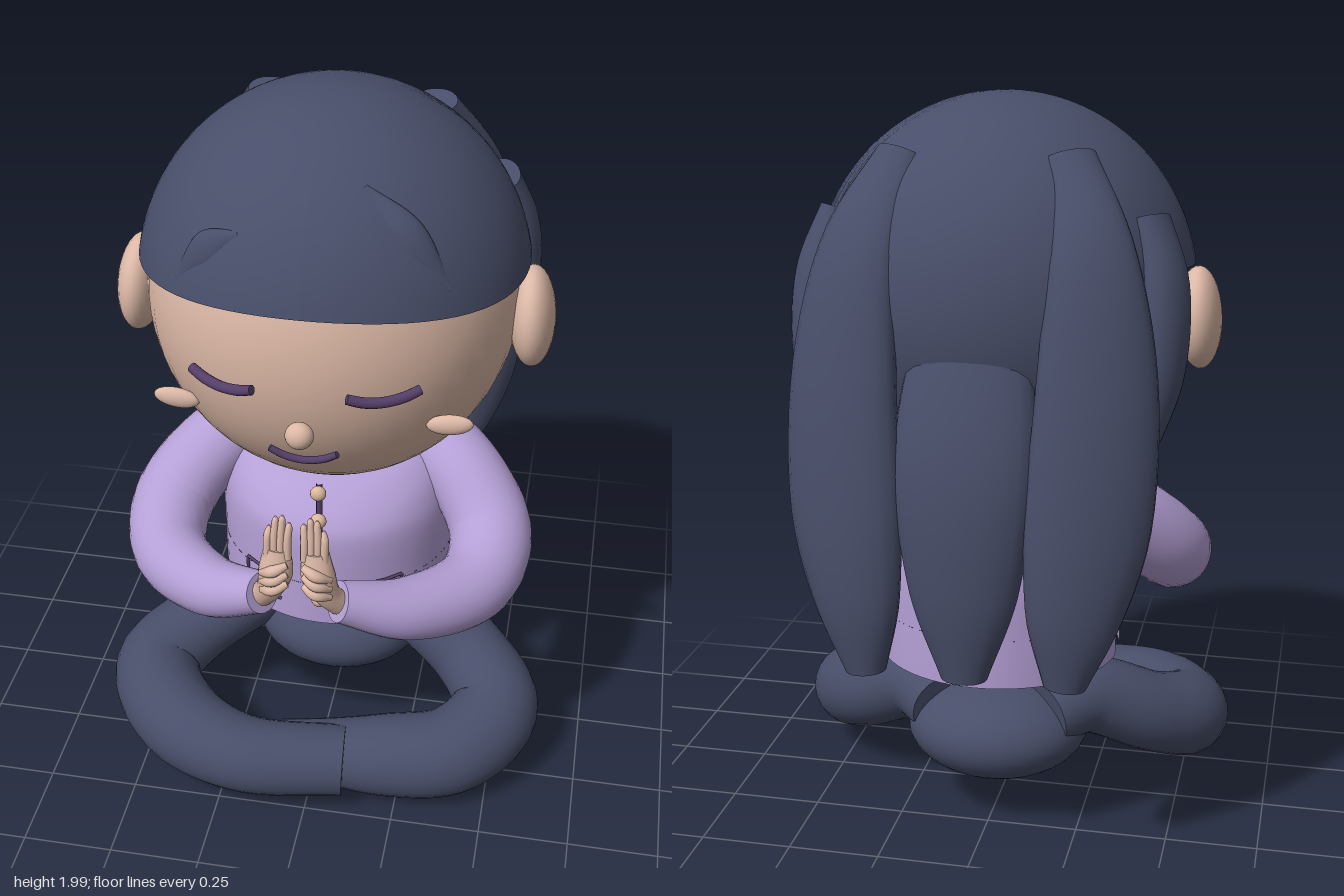
import * as THREE from 'three';

const mat = (name, color, side = THREE.FrontSide) => {
  const m = new THREE.MeshStandardMaterial({ color, side });
  m.name = name;
  return m;
};
const V = (a) => new THREE.Vector3(...a);

// Sweeps an ellipse (half width, half thickness) along a smooth path; out(p) gives the thickness direction
function sweep(path, radii, out, sides = 20, rings = 28) {
  const curve = new THREE.CatmullRomCurve3(path.map(V));
  const size = new THREE.CatmullRomCurve3(radii.map(([w, t]) => new THREE.Vector3(w, t, 0)), false, 'catmullrom', 0.5);
  const pos = [], idx = [];
  const ring = (u) => {
    const c = curve.getPoint(u), T = curve.getTangent(u), r = size.getPoint(u);
    const side = out(c).cross(T).normalize();
    const up = T.clone().cross(side);
    for (let j = 0; j < sides; j++) {
      const a = (j / sides) * Math.PI * 2;
      const p = c.clone().addScaledVector(side, Math.cos(a) * r.x).addScaledVector(up, Math.sin(a) * r.y);
      pos.push(p.x, p.y, p.z);
    }
    return c;
  };
  for (let i = 0; i <= rings; i++) ring(i / rings);
  for (let i = 0; i < rings; i++) for (let j = 0; j < sides; j++) {
    const a = i * sides + j, b = i * sides + (j + 1) % sides;
    idx.push(a, b, a + sides, b, b + sides, a + sides);
  }
  // flat end caps
  for (const end of [0, 1]) {
    const base = pos.length / 3, c = ring(end);
    pos.push(c.x, c.y, c.z);
    for (let j = 0; j < sides; j++) {
      const a = base + j, b = base + (j + 1) % sides;
      idx.push(base + sides, end ? a : b, end ? b : a);
    }
  }
  const g = new THREE.BufferGeometry();
  g.setAttribute('position', new THREE.Float32BufferAttribute(pos, 3));
  g.setIndex(idx);
  g.computeVertexNormals();
  return g;
}
const upward = () => V([0, 1, 0]);
const forward = () => V([0, 0, 1]);
const radial = (p) => V([p.x, 0, p.z]).normalize();
const backish = (p) => V([p.x * 0.45, 0, p.z]).normalize();
const round = (list) => list.map((r) => [r, r]);

export function createModel() {
  const root = new THREE.Group();
  root.name = 'meditatingFigure';
  const skin = mat('skin', 0xdcb8a6);
  const navy = mat('navy', 0x484e69);
  const navyOpen = mat('navyHair', 0x484e69, THREE.DoubleSide);
  const lilac = mat('lilac', 0xb5a0d6, THREE.DoubleSide);
  const plum = mat('plum', 0x553f69);
  const tan = mat('tan', 0xdcb99c);

  const add = (name, geo, m, parent = root) => {
    const mesh = new THREE.Mesh(geo, m);
    mesh.name = name;
    parent.add(mesh);
    return mesh;
  };
  const ball = (name, c, r, m, seg = 24) => {
    const mesh = add(name, new THREE.SphereGeometry(1, seg, Math.round(seg * 0.7)), m);
    mesh.position.set(...c);
    mesh.scale.set(...r);
    return mesh;
  };
  const wire = (name, pts, r, m) => add(name, new THREE.TubeGeometry(
    new THREE.CatmullRomCurve3(pts.map(V), false, 'centripetal'), 24, r, 8), m);

  // Head
  const H = { y: 1.46, r: [0.49, 0.53, 0.478] };
  const faceZ = (x, y) => H.r[2] * Math.sqrt(1 - (x / H.r[0]) ** 2 - ((y - H.y) / H.r[1]) ** 2);
  ball('head', [0, H.y, 0], H.r, skin, 48);
  ball('nose', [0, 1.295, 0.492], [0.036, 0.036, 0.03], skin);

  // Mouth
  const arc = (x0, half, y, dip, lift) => [-1, -0.55, 0, 0.55, 1].map((t) => {
    const x = x0 + t * half, yy = y - dip * (1 - t * t);
    return [x, yy, faceZ(x, yy) + lift];
  });
  add('mouth', sweep(arc(0, 0.086, 1.217, 0.032, 0.028), round([0.009, 0.01, 0.01, 0.01, 0.009]), upward, 10), plum);

  // Hair cap: ellipsoid whose lower edge changes around the head
  const cap = new THREE.SphereGeometry(1, 72, 28, 0, Math.PI * 2, 0, 2);
  const cp = cap.attributes.position, uv = cap.attributes.uv;
  const capR = [0.513, 0.525, 0.508], capY = 1.475;
  for (let i = 0; i < cp.count; i++) {
    const phi = uv.getX(i) * Math.PI * 2, v = 1 - uv.getY(i);
    const a = Math.abs(Math.atan2(Math.sin(phi), Math.cos(phi)));
    const back = THREE.MathUtils.smoothstep(a, 1.9, 2.3);
    const edge = 1.59 + 0.028 * Math.cos(2.2 * a) - 0.38 * back;
    const th = v * Math.acos((edge - capY) / capR[1]);
    cp.setXYZ(i, capR[0] * Math.sin(th) * Math.sin(phi), capY + capR[1] * Math.cos(th),
      capR[2] * Math.sin(th) * Math.cos(phi));
  }
  cap.computeVertexNormals();
  add('hairCap', cap, navyOpen);
  const onCap = (x, y) => [x, y, capR[2] * Math.sqrt(1 - (x / capR[0]) ** 2 - ((y - capY) / capR[1]) ** 2) - 0.012];

  // Middle back lock, emerging from under the cap
  add('backLockMiddle', sweep(
    [[0, 1.56, -0.36], [0, 1.36, -0.445], [0, 1.1, -0.515], [0, 0.8, -0.53], [0, 0.57, -0.525]],
    [[0.1, 0.05], [0.16, 0.065], [0.18, 0.075], [0.14, 0.07], [0.06, 0.045]], radial), navy);

  for (const s of [1, -1]) {
    const n = s > 0 ? 'left' : 'right';
    const M = (pts) => pts.map(([x, y, z]) => [s * x, y, z]);

    // Ears, closed eyes and cheeks
    ball(n + 'Ear', [s * 0.52, 1.416, 0.02], [0.06, 0.137, 0.116], skin, 28).rotation.z = s * 0.06;
    add(n + 'Eye', sweep(arc(s * 0.2, 0.084, 1.412, 0.018, 0.026), round([0.013, 0.014, 0.014, 0.014, 0.013]), upward, 10), plum);
    const cheek = ball(n + 'Cheek', [s * 0.35, 1.265, 0.335], [0.06, 0.028, 0.018], skin);
    cheek.rotation.z = s * 0.12;

    // Hair locks
    add(n + 'BackLock', sweep(
      M([[0.215, 1.865, -0.26], [0.29, 1.65, -0.385], [0.32, 1.35, -0.45], [0.31, 1.0, -0.5], [0.28, 0.75, -0.525], [0.26, 0.57, -0.525]]),
      [[0.065, 0.04], [0.11, 0.055], [0.15, 0.07], [0.16, 0.075], [0.12, 0.065], [0.055, 0.045]], backish), navy);
    add(n + 'SideLock', sweep(
      M([[0.41, 1.71, -0.19], [0.455, 1.55, -0.235], [0.455, 1.35, -0.28], [0.42, 1.2, -0.32], [0.38, 1.07, -0.35]]),
      [[0.065, 0.04], [0.078, 0.052], [0.078, 0.052], [0.06, 0.046], [0.03, 0.03]], radial), navy);
    const fringe = s > 0 ? [[0.12, 1.875], [0.23, 1.78], [0.335, 1.65]] : [[-0.16, 1.77], [-0.24, 1.72], [-0.32, 1.63]];
    add(n + 'Fringe', sweep(fringe.map(([x, y]) => onCap(x, y)),
      [[0.012, 0.01], [0.045, 0.02], [0.01, 0.01]], radial, 14), navy);

    // Sleeves
    add(n + 'Sleeve', sweep(
      M([[0.2, 0.92, -0.15], [0.33, 0.885, -0.06], [0.45, 0.75, 0.07], [0.43, 0.69, 0.23], [0.27, 0.72, 0.41], [0.1, 0.8, 0.51]]),
      round([0.095, 0.108, 0.115, 0.105, 0.085, 0.055]), upward, 24, 40), lilac);

    // Hands: wrist, palm, fingers and thumb
    const hand = new THREE.Group();
    hand.name = n + 'Hand';
    root.add(hand);
    add('palm', sweep(M([[0.105, 0.79, 0.505], [0.075, 0.84, 0.53], [0.055, 0.91, 0.545], [0.05, 0.985, 0.545]]),
      [[0.035, 0.03], [0.036, 0.032], [0.045, 0.036], [0.034, 0.022]], forward, 16), skin, hand);
    for (let k = 0; k < 4; k++) {
      const x = 0.022 + k * 0.017, top = [1.065, 1.085, 1.08, 1.05][k];
      add('finger', sweep(M([[x, 0.96, 0.555], [x, 1.02, 0.55], [x - 0.003, top - 0.012, 0.543], [x - 0.003, top, 0.542]]),
        round([0.011, 0.011, 0.009, 0.003]), forward, 10, 14), skin, hand);
    }
    for (let k = 0; k < 3; k++)
      add('foldedKnuckle', sweep(M([[0.02, 0.95 - k * 0.03, 0.57], [0.055, 0.935 - k * 0.03, 0.583], [0.09, 0.91 - k * 0.028, 0.56]]),
        round([0.009, 0.016, 0.009]), upward, 10, 10), skin, hand);

    // Pocket outline
    const rim = (x, y) => [s * x, y, -0.08 + 0.325 * Math.sqrt(1 - (x / 0.335) ** 2) + 0.008];
    for (const y of [0.64, 0.55]) wire(n + 'PocketLine', [rim(0.11, y), rim(0.165, y - 0.004), rim(0.22, y)], 0.0045, plum);
    wire(n + 'PocketSide', [rim(0.22, 0.64), rim(0.22, 0.55)], 0.0045, plum);

    // Crossed legs; the right shin lies in front of the left one
    const leg = s > 0
      ? [[0.15, 0.31, -0.17], [0.25, 0.33, -0.06], [0.42, 0.245, 0.04], [0.505, 0.185, 0.18], [0.4, 0.14, 0.325], [0.22, 0.125, 0.365], [0.05, 0.115, 0.37], [-0.1, 0.11, 0.36]]
      : [[0.15, 0.31, -0.17], [0.25, 0.33, -0.06], [0.42, 0.245, 0.05], [0.505, 0.19, 0.18], [0.4, 0.165, 0.36], [0.2, 0.145, 0.45], [-0.1, 0.135, 0.42]];
    const thick = [0.09, 0.108, 0.115, 0.126, 0.125, ...(s > 0 ? [0.118, 0.095, 0.07] : [0.11, 0.1])];
    add(n + 'Leg', sweep(M(leg), round(thick), upward, 24, 48), navy);
  }

  // Hips and tucked foot
  ball('hips', [0, 0.25, -0.11], [0.255, 0.142, 0.228], navy, 32);
  ball('foot', [-0.12, 0.11, 0.358], [0.06, 0.05, 0.05], skin);

  // Shirt: body plus front and back hem panels with open side slits
  const shirt = new THREE.Group();
  shirt.name = 'shirt';
  shirt.position.z = -0.08;
  shirt.scale.z = 0.965;
  root.add(shirt);
  const profile = [[0.335, 0.62], [0.335, 0.75], [0.32, 0.84], [0.29, 0.91], [0.23, 0.955], [0.12, 0.97]];
  const body = new THREE.LatheGeometry(
    new THREE.SplineCurve(profile.map((p) => new THREE.Vector2(...p))).getPoints(20), 48);
  // neckline slopes down toward the front
  const bp = body.attributes.position;
  for (let i = 0; i < bp.count; i++)
    bp.setY(i, bp.getY(i) - 0.24 * bp.getZ(i) * THREE.MathUtils.smoothstep(bp.getY(i), 0.75, 0.95));
  body.computeVertexNormals();
  add('shirtBody', body, lilac, shirt);
  const hem = [[0.335, 0.485], [0.336, 0.55], [0.335, 0.62]].map((p) => new THREE.Vector2(...p));
  for (const [name, start] of [['frontHem', -Math.PI / 2], ['backHem', Math.PI / 2]])
    add(name, new THREE.LatheGeometry(hem, 30, start + 0.12, Math.PI - 0.24), lilac, shirt);

  // Placket and buttons
  wire('placket', [[0, 0.55, 0.243], [0, 0.75, 0.245], [0, 0.86, 0.242], [0, 0.97, 0.238]], 0.009, plum);
  for (let k = 0; k < 5; k++)
    ball('button', [0, 0.58 + k * 0.092, 0.256], [0.022, 0.022, 0.018], tan, 16);

  return root;
}
